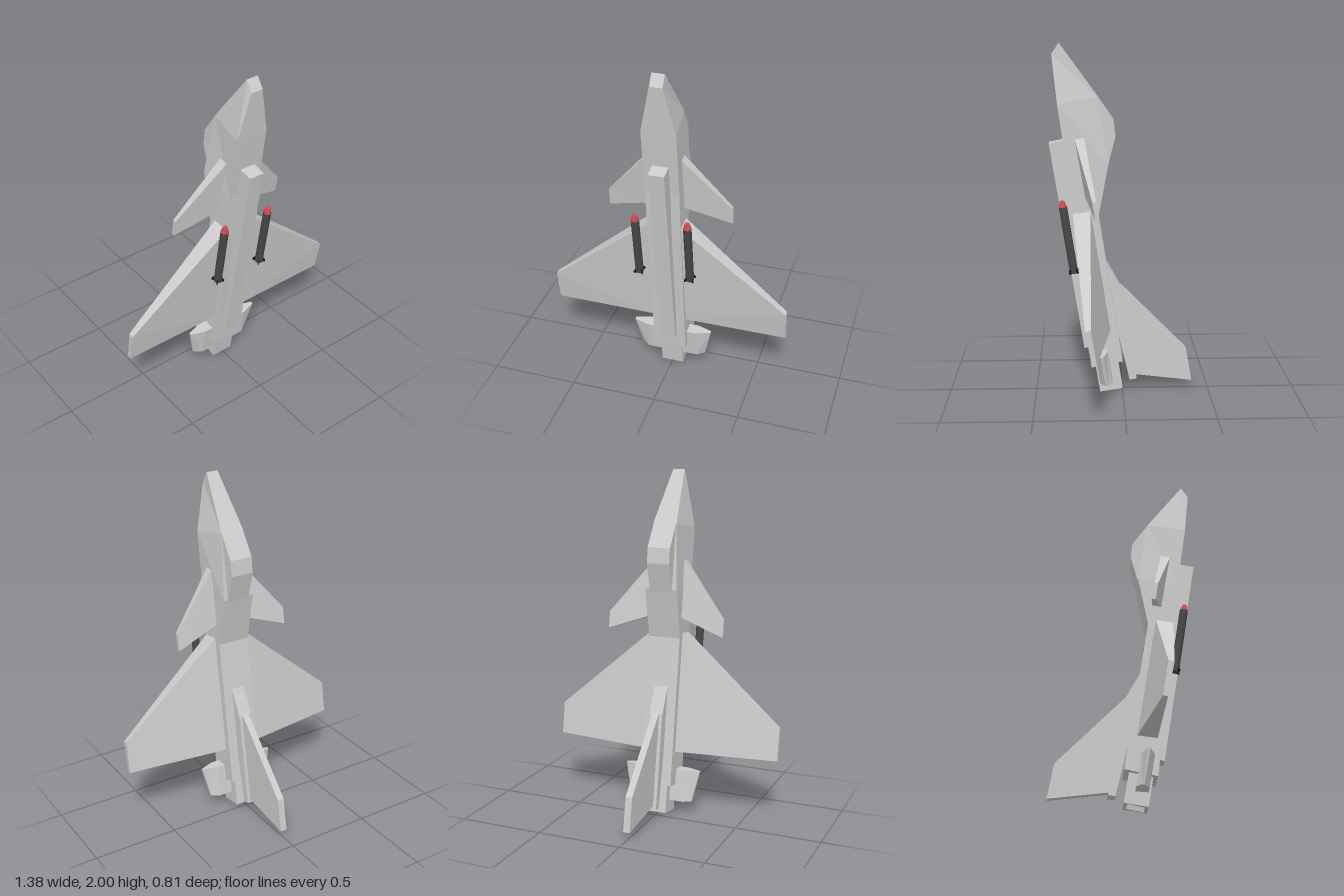
import * as THREE from 'three';

const paint = (color) => new THREE.MeshStandardMaterial({ color, flatShading: true });

// Skin between matching cross-sections (arrays of [x, y, z]) with both ends closed.
function loft(rings) {
  const n = rings[0].length, tris = [];
  for (let r = 0; r < rings.length - 1; r++) {
    for (let i = 0; i < n; i++) {
      const j = (i + 1) % n;
      const a = rings[r][i], b = rings[r][j], c = rings[r + 1][j], d = rings[r + 1][i];
      tris.push([a, b, c], [a, c, d]);
    }
  }
  const first = rings[0], last = rings[rings.length - 1];
  for (let i = 1; i < n - 1; i++) {
    tris.push([first[0], first[i + 1], first[i]], [last[0], last[i], last[i + 1]]);
  }
  // Turn the faces outward whatever the order of the sections
  const v = (p) => new THREE.Vector3(...p);
  const volume = tris.reduce((s, [a, b, c]) => s + v(a).dot(v(b).cross(v(c))), 0);
  if (volume < 0) tris.forEach((t) => t.reverse());
  const geo = new THREE.BufferGeometry();
  geo.setAttribute('position', new THREE.Float32BufferAttribute(tris.flat(2), 3));
  geo.computeVertexNormals();
  return geo;
}

// Side profile of [y, z] points given a thickness across x.
const slab = (profile, hw) => loft([-hw, hw].map((x) => profile.map(([y, z]) => [x, y, z])));

// Four-cornered section: belly edge [y, z, half width] and back edge [y, z, half width].
const section = ([fy, fz, fw], [by, bz, bw]) =>
  [[-fw, fy, fz], [fw, fy, fz], [bw, by, bz], [-bw, by, bz]];

// Aerofoil section at x: leading front/back and trailing front/back as [y, z].
const foil = (x, ...pts) => pts.map(([y, z]) => [x, y, z]);

export function createModel() {
  const model = new THREE.Group();
  const grey = paint(0xcccccc), dark = paint(0x484848), black = paint(0x161616), red = paint(0xd04a55);
  const add = (name, geo, mat = grey, parent = model) => {
    const mesh = new THREE.Mesh(geo, mat);
    mesh.name = name;
    parent.add(mesh);
    return mesh;
  };

  // Body, from nose to tail
  add('fuselage', loft([
    section([1.94, 0.39, 0.035], [2.0, 0.35, 0.035]),
    section([1.67, 0.36, 0.096], [1.71, 0.14, 0.07]),
    section([1.3, 0.307, 0.096], [1.34, 0.08, 0.096]),
    section([1.02, 0.283, 0.096], [1.05, 0.135, 0.096]),
    section([0.16, 0.18, 0.096], [0.195, 0, 0.096]),
  ]));
  add('canopy', slab([[1.71, 0.14], [1.58, 0.05], [1.49, 0.04], [1.32, 0.084], [1.34, 0.15], [1.68, 0.2]], 0.068));
  add('bellyIntake', slab([[1.45, 0.41], [1.467, 0.32], [0.275, 0.17], [0.26, 0.22]], 0.045));

  // Hollow square exhaust: outer wall, rim, then a funnel inward
  const nozzleRing = (y, z, hw, hd) => section([y - 0.01, z + hd, hw], [y + 0.01, z - hd, hw]);
  add('exhaustNozzle', loft([
    nozzleRing(0.2, 0.096, 0.065, 0.065),
    nozzleRing(0.012, 0.065, 0.065, 0.065),
    nozzleRing(0.012, 0.065, 0.048, 0.048),
    nozzleRing(0.1, 0.08, 0.03, 0.03),
  ]));

  // Upright tail
  add('tailFairing', slab([[0.77, 0.092], [0.62, 0.01], [0.07, -0.083], [0.064, -0.042], [0.35, 0.025]], 0.04));
  add('tailFin', slab([[0.63, 0.01], [0.245, -0.37], [0.05, -0.405], [0.09, -0.07], [0.3, 0]], 0.02));

  for (const [side, s] of [['left', 1], ['right', -1]]) {
    add(side + 'Wing', loft([
      foil(s * 0.09, [1.065, 0.28], [1.08, 0.18], [0.385, 0.07], [0.372, 0.18]),
      foil(s * 0.69, [0.56, 0.215], [0.567, 0.185], [0.38, 0.155], [0.375, 0.18]),
    ]));
    add(side + 'Foreplane', loft([
      foil(s * 0.09, [1.485, 0.267], [1.495, 0.215], [1.17, 0.16], [1.16, 0.212]),
      foil(s * 0.355, [1.172, 0.172], [1.175, 0.152], [1.077, 0.135], [1.073, 0.157]),
    ]));
    // Tail side fin: thick stub that thins to a slanted edge
    add(side + 'TailSideFin', loft([
      foil(s * 0.06, [0.265, 0.16], [0.27, 0.09], [0.085, 0.06], [0.08, 0.13]),
      foil(s * 0.15, [0.265, 0.16], [0.27, 0.09], [0.085, 0.06], [0.08, 0.13]),
      foil(s * 0.235, [0.265, 0.13], [0.267, 0.115], [0.256, 0.113], [0.254, 0.128]),
    ].map((ring, i) => i < 2 ? ring
      : foil(0, [0.265, 0.13], [0.267, 0.115], [0.085, 0.086], [0.083, 0.1])
        .map(([, y, z], k) => [s * (k < 2 ? 0.235 : 0.195), y, z]))));

    // Missile, tilted with the belly
    const missile = new THREE.Group();
    missile.name = side + 'Missile';
    missile.position.set(s * 0.148, 0.735, 0.274);
    missile.rotation.x = 0.155;
    model.add(missile);
    add('missileBody', new THREE.CylinderGeometry(0.023, 0.023, 0.38, 10).translate(0, 0.19, 0), dark, missile);
    add('missileTip', new THREE.CylinderGeometry(0.012, 0.023, 0.035, 10).translate(0, 0.3975, 0), red, missile);
    for (let i = 0; i < 4; i++) {
      const fin = add('missileFin', loft([-0.003, 0.003].map((z) =>
        [[0.015, 0.035, z], [0.036, 0.012, z], [0.036, 0, z], [0.015, 0, z]])), black, missile);
      fin.rotation.y = Math.PI / 4 + i * Math.PI / 2;
    }
  }
  return model;
}
